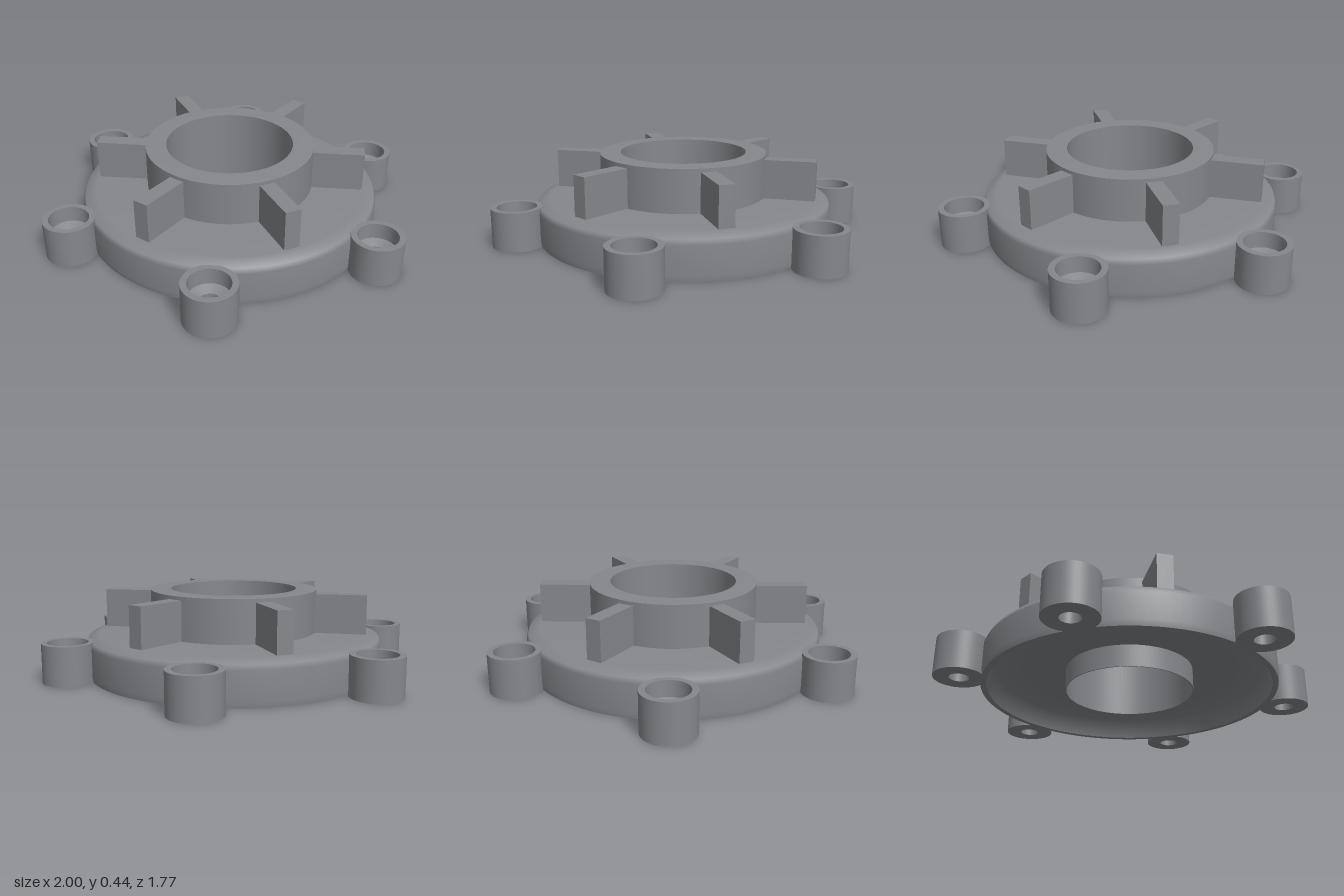
import * as THREE from 'three';

const steel = new THREE.MeshStandardMaterial({ color: 0x85878b, side: THREE.DoubleSide });
steel.name = 'grey steel';

function add(parent, name, geometry) {
  const mesh = new THREE.Mesh(geometry, steel);
  mesh.name = name;
  parent.add(mesh);
  return mesh;
}

// One lathe per run of [radius, height] points, so edges between runs stay sharp
function turned(parent, name, runs, segments) {
  const part = new THREE.Group();
  part.name = name;
  for (const run of runs) {
    const points = run.map(([r, y]) => new THREE.Vector2(r, y));
    add(part, name + 'Surface', new THREE.LatheGeometry(points, segments));
  }
  parent.add(part);
  return part;
}

export function createModel() {
  const model = new THREE.Group();
  model.name = 'hubFlange';

  // Dished flange: hollow underside, thin lip, softly rounded outer edge
  turned(model, 'flange', [
    [[0.33, 0.12], [0.55, 0.12], [0.7, 0.1], [0.735, 0]],
    [[0.735, 0], [0.765, 0]],
    [[0.765, 0], [0.77, 0.03], [0.77, 0.17], [0.76, 0.195], [0.7, 0.215], [0.42, 0.215]],
  ], 96);

  // Raised collar, and the bore sleeve that reaches below the flange
  turned(model, 'collar', [
    [[0.435, 0.2], [0.435, 0.435]],
    [[0.435, 0.435], [0.42, 0.437], [0.328, 0.437]],
    [[0.328, 0.437], [0.328, 0.005]],
    [[0.328, 0.005], [0.333, 0.005]],
    [[0.333, 0.005], [0.333, 0.13]],
  ], 96);

  // Six bolt bosses with counterbored holes, alternating with six ribs
  for (let i = 0; i < 6; i++) {
    const angle = i * Math.PI / 3;
    const boss = turned(model, 'boltBoss', [
      [[0.05, 0], [0.13, 0]],
      [[0.13, 0], [0.13, 0.2]],
      [[0.13, 0.2], [0.1, 0.2]],
      [[0.1, 0.2], [0.098, 0.12]],
      [[0.098, 0.12], [0.05, 0.1]],
      [[0.05, 0.1], [0.05, 0]],
    ], 40);
    boss.position.set(0.87 * Math.cos(angle), 0, 0.87 * Math.sin(angle));

    const ribPivot = new THREE.Group();
    ribPivot.name = 'ribPivot';
    ribPivot.rotation.y = angle + Math.PI / 6;
    const rib = add(ribPivot, 'rib', new THREE.BoxGeometry(0.28, 0.22, 0.08));
    rib.position.set(0.555, 0.307, 0);
    model.add(ribPivot);
  }
  return model;
}
